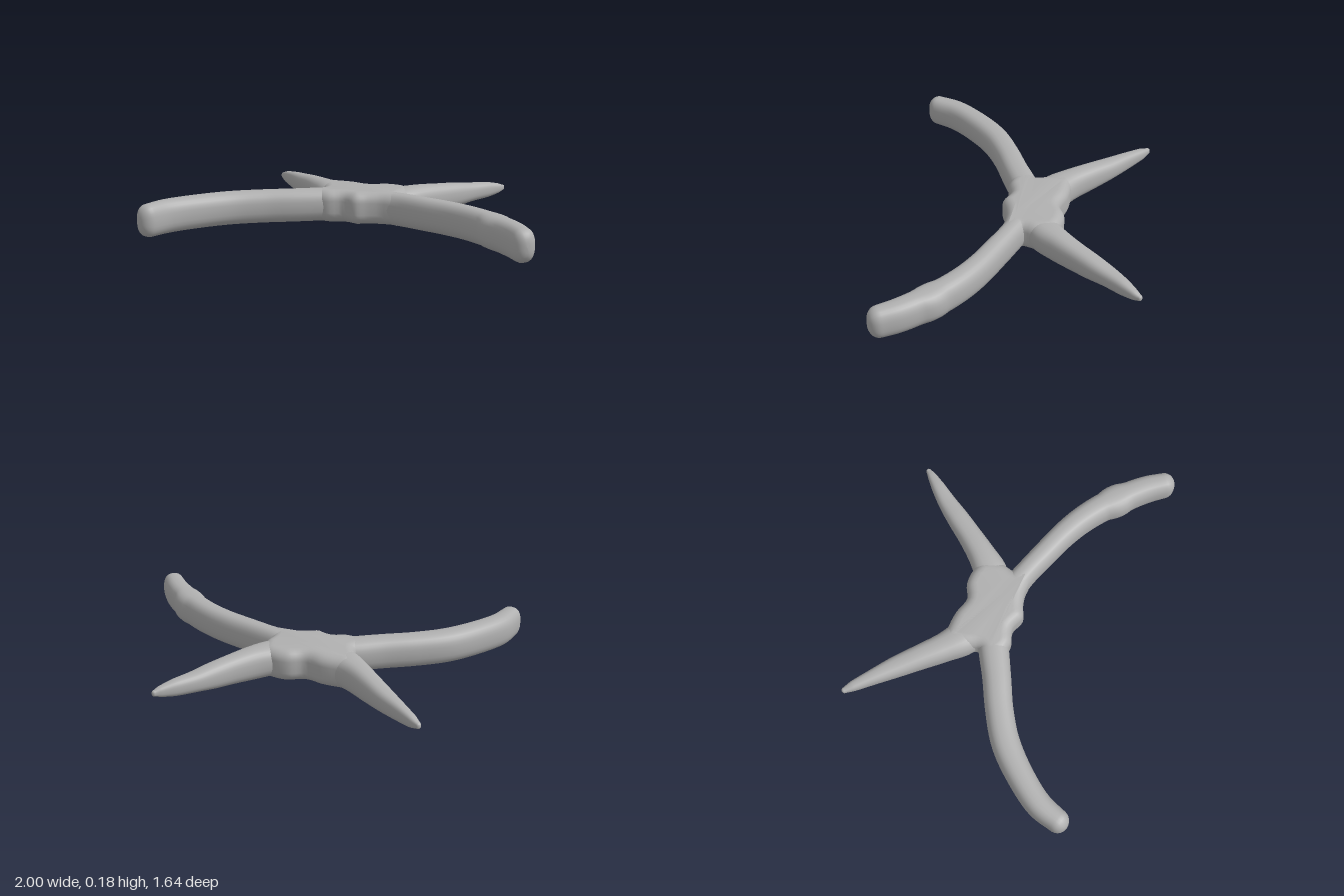
import * as THREE from 'three';
import { mergeVertices, toCreasedNormals } from 'three/addons/utils/BufferGeometryUtils.js';

const MID = 0.09; // height of the horizontal symmetry plane
const SIDES = 28;

// Superellipse component: a softly squared round
const sq = (v, e) => Math.sign(v) * Math.pow(Math.abs(v), e);

// Horizontal limb lofted along stations [x, z, halfWidth, halfHeight], ending in a dome
function limbGeometry(stations) {
  const path = new THREE.CatmullRomCurve3(stations.map(s => new THREE.Vector3(s[0], 0, s[1])));
  const size = new THREE.CatmullRomCurve3(stations.map(s => new THREE.Vector3(s[2], s[3], 0)));
  const rings = [];
  const steps = 48;
  for (let i = 0; i <= steps; i++) {
    const t = i / steps;
    const s = size.getPoint(t);
    rings.push({ p: path.getPoint(t), d: path.getTangent(t), w: s.x, h: s.y });
  }
  const end = rings[steps];
  for (let i = 1; i <= 8; i++) {
    const a = (i / 8) * Math.PI / 2;
    const c = Math.max(Math.cos(a), 0);
    rings.push({
      p: end.p.clone().addScaledVector(end.d, end.w * Math.sin(a)),
      d: end.d, w: end.w * c, h: end.h * Math.pow(c, 0.75),
    });
  }
  const pos = [], idx = [];
  for (const { p, d, w, h } of rings) {
    for (let j = 0; j < SIDES; j++) {
      const a = (j / SIDES) * Math.PI * 2;
      const u = sq(Math.cos(a), 0.8) * w;
      pos.push(p.x - d.z * u, MID + sq(Math.sin(a), 0.8) * h, p.z + d.x * u);
    }
  }
  for (let i = 0; i < rings.length - 1; i++) {
    for (let j = 0; j < SIDES; j++) {
      const k = (j + 1) % SIDES;
      const a = i * SIDES + j, b = i * SIDES + k;
      idx.push(a, a + SIDES, b, b, a + SIDES, b + SIDES);
    }
  }
  const g = new THREE.BufferGeometry();
  g.setAttribute('position', new THREE.Float32BufferAttribute(pos, 3));
  g.setIndex(idx);
  // Make sure the faces look outward whatever the direction of travel
  const p = g.attributes.position, A = new THREE.Vector3(), B = new THREE.Vector3(), C = new THREE.Vector3();
  let volume = 0;
  for (let i = 0; i < idx.length; i += 3) {
    A.fromBufferAttribute(p, idx[i]);
    B.fromBufferAttribute(p, idx[i + 1]);
    C.fromBufferAttribute(p, idx[i + 2]);
    volume += A.dot(B.cross(C));
  }
  if (volume < 0) g.setIndex(idx.reverse());
  g.computeVertexNormals();
  return g;
}

// Flat central hub with rounded rim
function hubGeometry() {
  const outline = [
    [-0.43, -0.22], [-0.35, -0.24], [-0.27, -0.245], [-0.18, -0.235], [-0.11, -0.28],
    [-0.03, -0.29], [0.04, -0.27], [0.08, -0.18], [0.08, -0.1], [0.12, -0.07], [0.1, -0.01],
    [0.0, 0.01], [-0.06, 0.035], [-0.12, 0.07], [-0.2, 0.055], [-0.28, 0.09],
    [-0.38, 0.07], [-0.4, 0.0], [-0.38, -0.04], [-0.42, -0.11],
  ];
  const curve = new THREE.CatmullRomCurve3(outline.map(([x, z]) => new THREE.Vector3(x, z, 0)), true);
  const shape = new THREE.Shape(curve.getPoints(80).slice(0, -1).map(v => new THREE.Vector2(v.x, v.y)));
  const bevel = 0.055;
  let g = new THREE.ExtrudeGeometry(shape, {
    depth: 0.174 - 2 * bevel, bevelEnabled: true, bevelThickness: bevel,
    bevelSize: bevel, bevelOffset: -bevel, bevelSegments: 6,
  });
  g.rotateX(Math.PI / 2);
  g.translate(0, MID + 0.087 - bevel, 0);
  g.deleteAttribute('uv');
  g.deleteAttribute('normal');
  g = mergeVertices(g, 1e-4);
  return toCreasedNormals(g, 0.9);
}

export function createModel() {
  const model = new THREE.Group();
  model.name = 'branchedBody';
  const grey = new THREE.MeshStandardMaterial({ color: 0xb0b0b0 });
  grey.name = 'plain grey';

  const add = (name, geometry) => {
    const mesh = new THREE.Mesh(geometry, grey);
    mesh.name = name;
    model.add(mesh);
  };

  add('hub', hubGeometry());

  // Two blunt, curved arms sweeping forward
  add('rightArm', limbGeometry([
    [-0.2, -0.07, 0.07, 0.08], [-0.32, 0.01, 0.08, 0.087], [-0.46, 0.115, 0.075, 0.088],
    [-0.6, 0.215, 0.073, 0.088], [-0.735, 0.335, 0.074, 0.088], [-0.845, 0.49, 0.07, 0.088],
    [-0.92, 0.64, 0.066, 0.088], [-0.942, 0.76, 0.058, 0.086],
  ]));
  add('leftArm', limbGeometry([
    [-0.12, -0.08, 0.06, 0.08], [0.0, -0.065, 0.066, 0.086], [0.12, -0.048, 0.06, 0.088],
    [0.26, -0.02, 0.062, 0.088], [0.4, 0.01, 0.064, 0.088], [0.53, 0.052, 0.067, 0.088],
    [0.66, 0.115, 0.07, 0.088], [0.78, 0.195, 0.07, 0.088], [0.87, 0.265, 0.066, 0.088],
    [0.937, 0.333, 0.06, 0.086],
  ]));

  // Two tapering spikes pointing back
  add('rightSpike', limbGeometry([
    [-0.25, -0.1, 0.08, 0.08], [-0.36, -0.145, 0.09, 0.087], [-0.46, -0.205, 0.073, 0.083],
    [-0.57, -0.285, 0.062, 0.074], [-0.68, -0.365, 0.053, 0.06], [-0.79, -0.44, 0.038, 0.047],
    [-0.88, -0.5, 0.026, 0.032], [-0.92, -0.525, 0.015, 0.017],
  ]));
  add('leftSpike', limbGeometry([
    [-0.04, -0.15, 0.06, 0.07], [0.02, -0.21, 0.088, 0.084], [0.085, -0.31, 0.073, 0.084],
    [0.145, -0.42, 0.063, 0.075], [0.195, -0.52, 0.058, 0.066], [0.245, -0.62, 0.049, 0.052],
    [0.3, -0.715, 0.037, 0.043], [0.342, -0.785, 0.023, 0.027], [0.356, -0.812, 0.014, 0.016],
  ]));

  return model;
}
